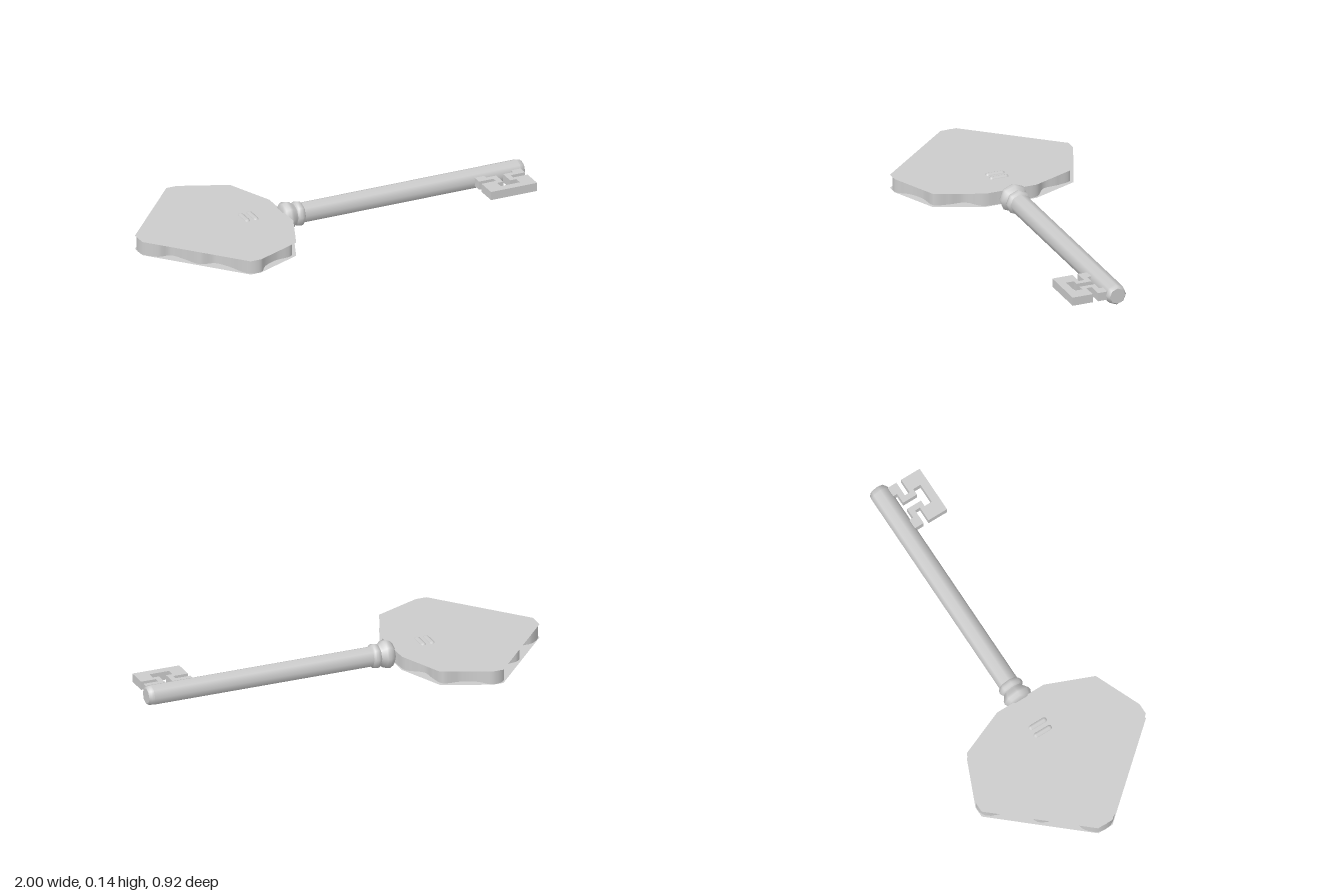
import * as THREE from 'three';
import { ParametricGeometry } from 'three/addons/geometries/ParametricGeometry.js';

const AXIS_Y = 0.072;
const PLATE_TOP = 0.106, PLATE_BOTTOM = 0.038;

const solid = new THREE.MeshStandardMaterial({ color: 0xcccccc });
const thin = new THREE.MeshStandardMaterial({ color: 0xcccccc, side: THREE.DoubleSide });

function add(parent, name, geometry, material = solid) {
  const mesh = new THREE.Mesh(geometry, material);
  mesh.name = name;
  parent.add(mesh);
  return mesh;
}

// Mirrors half an outline of [x, z] pairs across z = 0 into a closed loop
function mirrorZ(half) {
  const other = half.filter(p => p[1] > 0).map(([x, z]) => [x, -z]).reverse();
  return [...half, ...other].map(([x, z]) => new THREE.Vector2(x, z));
}

// Lays a shape drawn in (x, z) flat
const flat = geometry => geometry.rotateX(Math.PI / 2);

const rect = (x0, x1, z0, z1) => [[x0, z0], [x1, z0], [x1, z1], [x0, z1]];
const toPoints = pairs => pairs.map(([x, z]) => new THREE.Vector2(x, z));

function createBow() {
  const bow = new THREE.Group();
  bow.name = 'bow';

  // Two thin flat plates
  const outline = mirrorZ([
    [-1, 0.04], [-0.635, 0.458], [-0.58, 0.458], [-0.35, 0.36], [-0.255, 0.13],
  ]);
  for (const [name, y] of [['upperPlate', PLATE_TOP], ['lowerPlate', PLATE_BOTTOM]]) {
    add(bow, name, flat(new THREE.ShapeGeometry(new THREE.Shape(outline))), thin).position.y = y;
  }

  // Scalloped wall between the plates
  const wallPoints = mirrorZ([
    [-0.995, 0.035], [-0.94, 0.09], [-0.88, 0.1], [-0.84, 0.17], [-0.8, 0.25],
    [-0.73, 0.27], [-0.69, 0.33], [-0.64, 0.44], [-0.58, 0.455], [-0.53, 0.4],
    [-0.46, 0.365], [-0.37, 0.35], [-0.35, 0.28], [-0.34, 0.2], [-0.27, 0.14], [-0.26, 0.06],
  ]).map(p => new THREE.Vector3(p.x, 0, p.y));
  const wallCurve = new THREE.CatmullRomCurve3(wallPoints, true);
  const wall = new ParametricGeometry((u, v, target) => {
    wallCurve.getPoint(u, target);
    target.y = THREE.MathUtils.lerp(PLATE_BOTTOM, PLATE_TOP, v);
  }, 128, 1);
  add(bow, 'scallopedWall', wall, thin);

  // Pairs of small ribs showing through both plates
  for (const x of [-0.45, -0.405]) {
    for (const y of [0.099, 0.045]) {
      const rib = add(bow, 'rib', new THREE.CapsuleGeometry(0.016, 0.07, 4, 8).rotateX(Math.PI / 2));
      rib.position.set(x, y, 0);
    }
  }
  return bow;
}

function createShaft() {
  const shaft = new THREE.Group();
  shaft.name = 'shaft';
  shaft.position.y = AXIS_Y;

  // Profiles of [radius, x], turned on eight sides along x
  const turned = (name, profile) => {
    const lathe = new THREE.LatheGeometry(toPoints(profile), 8);
    add(shaft, name, lathe.rotateZ(-Math.PI / 2));
  };
  turned('rod', [[0.05, -0.2], [0.05, 0.975]]);
  turned('rodTip', [[0.05, 0.975], [0.048, 0.988], [0.039, 1]]);
  turned('rodEnd', [[0.039, 1], [0, 1]]);
  turned('bead', [[0, -0.262], [0.047, -0.262], [0.063, -0.248], [0.072, -0.23],
    [0.068, -0.215], [0.056, -0.2], [0.05, -0.188]]);
  turned('collar', [[0.05, -0.19], [0.059, -0.182], [0.062, -0.17], [0.059, -0.158], [0.05, -0.15]]);
  return shaft;
}

// Flat toothed bit with side notches and a slot that widens at both ends
function createBit(parent) {
  const shape = new THREE.Shape(toPoints([
    [0.735, 0.03], [0.975, 0.03], [0.975, 0.09], [0.9, 0.09], [0.9, 0.117], [0.975, 0.117],
    [0.975, 0.22], [0.735, 0.22], [0.735, 0.117], [0.81, 0.117], [0.81, 0.09], [0.735, 0.09],
  ]));
  shape.holes.push(new THREE.Path(toPoints([
    ...rect(0.785, 0.925, 0.04, 0.063).slice(0, 3),
    [0.873, 0.063], [0.873, 0.14], [0.905, 0.14], [0.905, 0.18],
    [0.805, 0.18], [0.805, 0.14], [0.837, 0.14], [0.837, 0.063], [0.785, 0.063],
  ])));
  const geometry = new THREE.ExtrudeGeometry(shape, { depth: 0.042, bevelEnabled: false });
  add(parent, 'bit', flat(geometry)).position.y = AXIS_Y + 0.021;
}

export function createModel() {
  const key = new THREE.Group();
  key.name = 'key';
  key.add(createBow(), createShaft());
  createBit(key);
  return key;
}
